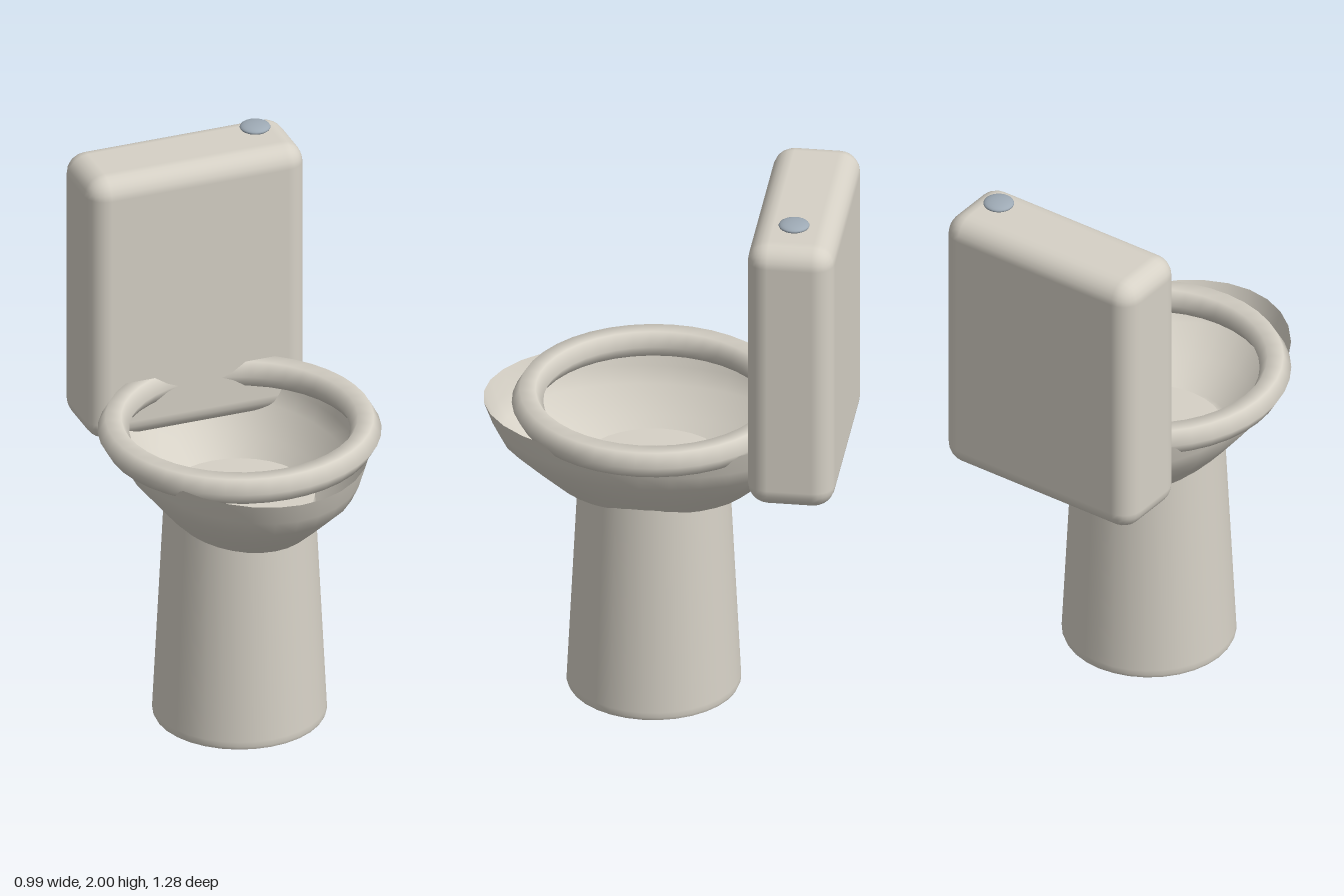
import * as THREE from 'three';
import { RoundedBoxGeometry } from 'three/addons/geometries/RoundedBoxGeometry.js';

export function createModel() {
  const model = new THREE.Group();
  const ceramic = new THREE.MeshStandardMaterial({ color: 0xd6d1c6, side: THREE.DoubleSide });
  ceramic.name = 'ceramic';
  const metal = new THREE.MeshStandardMaterial({ color: 0x9eaab5 });
  metal.name = 'metal';

  const centreZ = 0.042; // shared axis of pedestal, bowl and seat
  const add = (name, geometry, material, x, y, z) => {
    const mesh = new THREE.Mesh(geometry, material);
    mesh.name = name;
    mesh.position.set(x, y, z);
    model.add(mesh);
    return mesh;
  };
  const lathe = (points) =>
    new THREE.LatheGeometry(points.map(([r, y]) => new THREE.Vector2(r, y)), 32);

  // Tapered pedestal with a slightly eased foot; its top shows inside the bowl
  add('pedestal', lathe([[0.3, 0], [0.305, 0.012], [0.304, 0.03], [0.263, 0.85]]), ceramic, 0, 0, centreZ);
  const disc = (radius) => new THREE.CircleGeometry(radius, 32).rotateX(-Math.PI / 2);
  add('pedestalTop', disc(0.263), ceramic, 0, 0.85, centreZ);
  add('pedestalBase', disc(0.3).rotateX(Math.PI), ceramic, 0, 0, centreZ);

  // Open oval bowl, longer front to back
  const oval = 0.72;
  const bowl = lathe([[0.32, 0.785], [0.34, 0.79], [0.44, 0.875], [0.535, 0.96], [0.567, 1.02], [0.597, 1.1]]);
  add('bowl', bowl.scale(oval, 1, 1), ceramic, 0, 0, centreZ);
  add('bowlFloor', disc(0.32).scale(oval, 1, 1).rotateX(Math.PI), ceramic, 0, 0.785, centreZ);

  // Ring seat with a six-sided section
  const seat = new THREE.TorusGeometry(0.44, 0.055, 6, 40).rotateX(-Math.PI / 2);
  add('seat', seat, ceramic, 0, 1.105, centreZ);

  // Rounded water tank
  add('tank', new RoundedBoxGeometry(0.81, 1.03, 0.306, 3, 0.075), ceramic, 0, 1.437, -0.486);

  // Flattened flush button hovering over the tank
  add('flushButton', new THREE.SphereGeometry(0.054, 24, 12).scale(1, 0.28, 1), metal, 0.264, 1.985, -0.486);

  return model;
}
